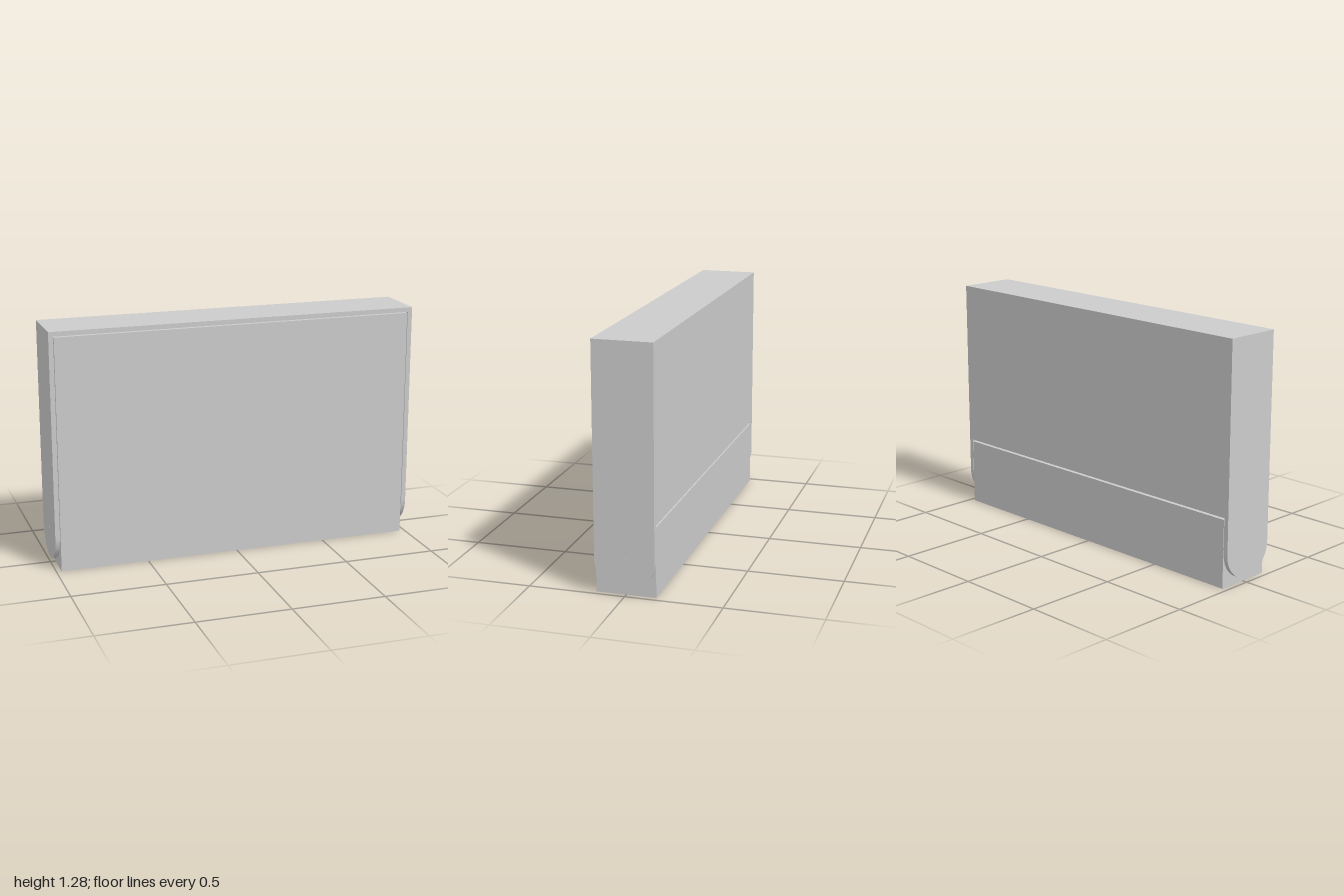
import * as THREE from 'three';

const T = 0.025;          // board thickness
const W = 1.0;            // half width
const D = 0.155;          // half depth
const H = 1.285;          // overall height
const PIVOT_Y = 0.185;    // hinge axis height
const TRAY_X = 0.972;     // half width of the swinging tray
const TRAY_TOP = 0.365;

const face = new THREE.MeshStandardMaterial({ color: 0xcccccc });
const edge = new THREE.MeshStandardMaterial({ color: 0xffffff });

// Board from min/max corners: broad faces grey, cut edges pale.
// axis = thickness direction (0 x, 1 y, 2 z)
function board(name, axis, min, max) {
  const size = max.map((v, i) => v - min[i]);
  const materials = [0, 1, 2, 3, 4, 5].map(i => (i >> 1) === axis ? face : edge);
  const mesh = new THREE.Mesh(new THREE.BoxGeometry(...size), materials);
  mesh.position.set(...max.map((v, i) => (v + min[i]) / 2));
  mesh.name = name;
  return mesh;
}

// Upright side board with a half-round foot around the hinge
function roundedSide(name, x) {
  const s = new THREE.Shape();
  s.moveTo(D, H);
  s.lineTo(-D, H);
  s.lineTo(-D, PIVOT_Y);
  s.absarc(0, PIVOT_Y, D, Math.PI, Math.PI * 2, false);
  s.lineTo(D, H);
  const geo = new THREE.ExtrudeGeometry(s, { depth: T, bevelEnabled: false, curveSegments: 24 });
  geo.rotateY(Math.PI / 2);
  const mesh = new THREE.Mesh(geo, [face, edge]);
  mesh.position.x = x;
  mesh.name = name;
  return mesh;
}

export function createModel() {
  const root = new THREE.Group();
  root.name = 'foldingCabinet';

  // Fixed outer case: two sides, top and upper back
  const outer = new THREE.Group();
  outer.name = 'case';
  outer.add(
    roundedSide('leftSide', W - T),
    roundedSide('rightSide', -W),
    board('top', 1, [-W + T, H - T, -D + T], [W - T, H, D]),
    board('caseBack', 2, [-W + T, TRAY_TOP + 0.01, -D], [W - T, H, -D + T])
  );

  // Swinging tray: tall front, floor, short sides and low back
  const tray = new THREE.Group();
  tray.name = 'tray';
  const front = board('front', 2, [-TRAY_X, 0, D - T], [TRAY_X, H - T - 0.005, D]);
  front.material[3] = face;
  tray.add(
    front,
    board('floor', 1, [-TRAY_X, 0, -D], [TRAY_X, T, D - T]),
    board('trayBack', 2, [-TRAY_X + T, T, -D], [TRAY_X - T, TRAY_TOP, -D + T])
  );
  for (const [name, x] of [['trayLeftSide', TRAY_X - T], ['trayRightSide', -TRAY_X]]) {
    tray.add(board(name, 0, [x, T, -D], [x + T, TRAY_TOP, D - T]));
  }

  // Hinge pins through both side boards
  for (const [name, sx] of [['leftPin', 1], ['rightPin', -1]]) {
    const pin = new THREE.Mesh(new THREE.CylinderGeometry(0.02, 0.02, 0.071, 16), face);
    pin.rotation.z = Math.PI / 2;
    pin.position.set(sx * 0.965, PIVOT_Y, 0);
    pin.name = name;
    outer.add(pin);
  }

  root.add(outer, tray);
  return root;
}
